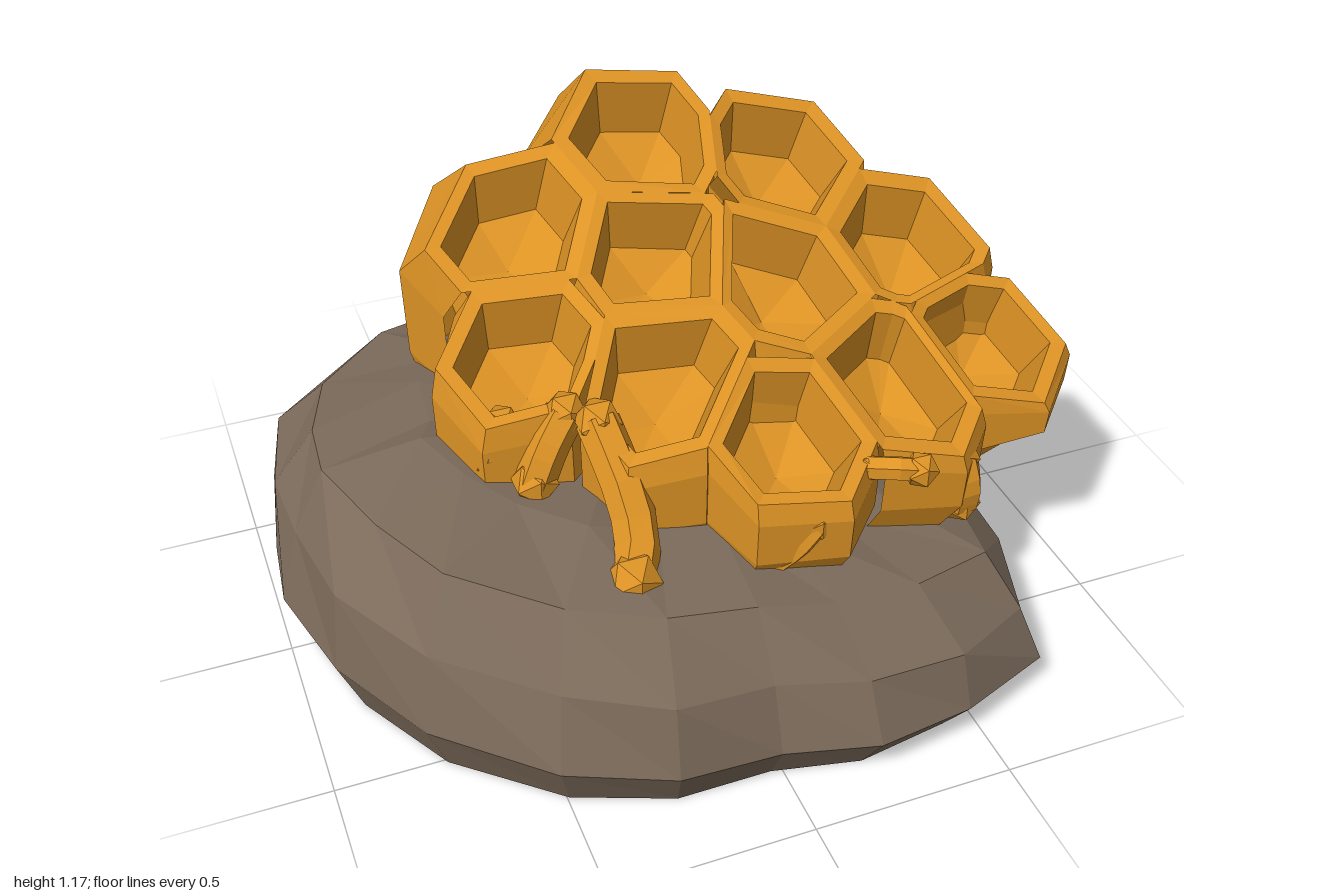
import * as THREE from 'three';

const comb = new THREE.MeshStandardMaterial({ color: 0xdd9325, side: THREE.DoubleSide });
comb.name = 'amber wax';
const stone = new THREE.MeshStandardMaterial({ color: 0x7c6b5b });
stone.name = 'brown stone';

// Faceted surface joining successive [x,y,z] loops; a one-point loop closes an end
function loft(loops, closed = true, out = []) {
  for (let k = 0; k + 1 < loops.length; k++) {
    const lo = loops[k], up = loops[k + 1];
    const n = Math.max(lo.length, up.length);
    for (let i = 0; i < (closed ? n : n - 1); i++) {
      const j = (i + 1) % n;
      const a = lo[i % lo.length], b = lo[j % lo.length];
      const c = up[i % up.length], d = up[j % up.length];
      if (up.length > 1) out.push(...a, ...c, ...d);
      if (lo.length > 1) out.push(...a, ...d, ...b);
    }
  }
  return out;
}

function facetMesh(name, positions, material) {
  const g = new THREE.BufferGeometry();
  g.setAttribute('position', new THREE.Float32BufferAttribute(positions, 3));
  g.computeVertexNormals();
  const m = new THREE.Mesh(g, material);
  m.name = name;
  return m;
}

// ---- Boulder: one plan outline, scaled and raised ring by ring
const OUTLINE = [
  [-0.23, -0.93], [0, -0.86], [0.25, -0.83], [0.5, -0.78], [0.65, -0.62], [0.71, -0.4], [0.76, -0.15],
  [0.78, 0.15], [0.77, 0.5], [0.7, 0.78], [0.45, 0.88], [0.2, 0.92], [-0.03, 0.87], [-0.28, 0.87],
  [-0.53, 0.77], [-0.78, 0.55], [-0.93, 0.28], [-1, 0], [-0.98, -0.2], [-0.93, -0.5], [-0.67, -0.72], [-0.43, -0.87],
];
function rock() {
  // height share, x scale, z scale
  const RINGS = [[0, 0.935, 0.925], [0.27, 1, 1], [0.62, 0.965, 0.935], [0.9, 0.86, 0.78], [1, 0.6, 0.5]];
  const rings = RINGS.map(([f, sx, sz], r) =>
    OUTLINE.map(([x, z], i) => {
      const w = r < 2 ? 0 : 0.018 * Math.sin(i * 2.3 + r * 1.7);
      const px = x * (sx + w);
      return [px, f * (0.46 - 0.16 * px) * (1 + 1.2 * w), z * (sz + w)];
    }));
  return facetMesh('boulder', loft([[[0, 0, 0]], ...rings, [[-0.1, 0.48, 0]]]), stone);
}

// ---- Honeycomb: cell centres in plan with outer radius
const CELLS = [
  [0.09, -0.37, 0.24], [-0.27, -0.25, 0.24], [0.44, -0.27, 0.24], [0.01, -0.07, 0.26], [-0.36, 0.03, 0.21],
  [0.32, 0.06, 0.26], [0.67, -0.03, 0.24], [-0.06, 0.22, 0.25], [0.16, 0.43, 0.22], [0.48, 0.33, 0.25], [0.775, 0.25, 0.215],
];
const surf = (x, z) => 0.9 - 0.47 * z - (x < 0.1 ? 0.27 : 0.16) * Math.max(0, Math.abs(x - 0.1) - 0.12);

// Hexagon trimmed halfway to every neighbour
function cellPolygon([cx, cz, r], index) {
  let poly = [];
  for (let i = 0; i < 6; i++) {
    const a = 0.2 + i * Math.PI / 3;
    poly.push([cx + r * Math.cos(a), cz + r * 0.92 * Math.sin(a)]);
  }
  CELLS.forEach(([ox, oz], k) => {
    if (k === index) return;
    const side = ([x, z]) => (x - (cx + ox) / 2) * (ox - cx) + (z - (cz + oz) / 2) * (oz - cz);
    const next = [];
    poly.forEach((p, i) => {
      const q = poly[(i + 1) % poly.length], a = side(p), b = side(q);
      if (a <= 0) next.push(p);
      if (a * b < 0) next.push([p[0] + (q[0] - p[0]) * a / (a - b), p[1] + (q[1] - p[1]) * a / (a - b)]);
    });
    poly = next;
  });
  return poly;
}

const inside = (poly, x, z) => poly.every((p, i) => {
  const q = poly[(i + 1) % poly.length];
  return (q[0] - p[0]) * (z - p[1]) - (q[1] - p[1]) * (x - p[0]) >= 0;
});

// Outer flank at a rim point: swells backward behind the cells, undercut on the right
function flank([x, z]) {
  const clamp = THREE.MathUtils.clamp;
  const len = Math.hypot(x - 0.1, z + 0.05);
  const dx = (x - 0.1) / len, dz = (z + 0.05) / len;
  const back = Math.max(0, -dz) ** 0.7 * (1 - 1.2 * clamp(x - 0.22, 0, 0.5)) * (1 + 0.08 * Math.sin(x * 17 + z * 11));
  const top = surf(x, z);
  const right = clamp((x - 0.62) / 0.25, 0, 1);
  const base = 0.36 + 0.11 * right;
  const at = (t, swell, out) => [
    x + dx * (out + 0.07 * back * swell), top + (base - top) * t, z + dz * out - 0.18 * back * swell,
  ];
  return [
    [0.1, 0.36, -0.05], at(1, 0.55, -0.04 - 0.05 * right),
    at(0.65, 0.97, 0.01), at(0.2, 1, 0.015), at(0, 0, 0),
  ];
}

function honeycomb() {
  const group = new THREE.Group();
  group.name = 'honeycomb';
  const polys = CELLS.map(cellPolygon);
  const skirt = [];
  polys.forEach((poly, k) => {
    const [cx, cz] = poly.reduce((s, p) => [s[0] + p[0] / poly.length, s[1] + p[1] / poly.length], [0, 0]);
    // Rim, sloping inner wall and sunken floor, sunk square to the tilted face
    const ring = (scale, depth) => poly.map(([x, z]) => {
      const px = cx + (x - cx) * scale, pz = cz + (z - cz) * scale;
      return [px, surf(px, pz) - depth, pz - depth * 0.4];
    });
    const floor = [cx, surf(cx, cz) - 0.2, cz - 0.08];
    group.add(facetMesh('cell', loft([ring(1, 0), ring(0.82, 0.008), ring(0.66, 0.15), [floor]]), comb));

    // Flank below every exposed edge
    poly.forEach((p, i) => {
      const q = poly[(i + 1) % poly.length];
      const ex = q[0] - p[0], ez = q[1] - p[1], len = Math.hypot(ex, ez);
      if (len < 1e-4) return;
      const exposed = [0.1, 0.5, 0.9].some((t) => {
        const x = p[0] + ex * t + ez / len * 0.012, z = p[1] + ez * t - ex / len * 0.012;
        return !polys.some((o, n) => n !== k && inside(o, x, z));
      });
      if (!exposed) return;
      const a = flank(p), b = flank(q);
      loft(a.map((v, n) => [v, b[n]]), false, skirt);
    });
  });
  group.add(facetMesh('outerWall', skirt, comb));
  return group;
}

// ---- Wax drips: short faceted tubes ending in a blob
function drip(points, radius, blob) {
  const group = new THREE.Group();
  group.name = 'waxDrip';
  const path = new THREE.CatmullRomCurve3(points.map((p) => new THREE.Vector3(...p)));
  const tube = new THREE.TubeGeometry(path, 5, radius, 6).toNonIndexed();
  tube.computeVertexNormals();
  const stem = new THREE.Mesh(tube, comb);
  stem.name = 'dripStem';
  group.add(stem);
  for (const [p, r] of [[points[0], radius * 1.1], [points[points.length - 1], blob]]) {
    const end = new THREE.Mesh(new THREE.IcosahedronGeometry(r, 0), comb);
    end.position.set(...p);
    end.name = 'dripEnd';
    group.add(end);
  }
  return group;
}

export function createModel() {
  const model = new THREE.Group();
  model.name = 'honeycombOnBoulder';
  model.add(rock(), honeycomb());
  model.add(
    drip([[-0.25, 0.7, 0.25], [-0.23, 0.59, 0.38], [-0.23, 0.5, 0.46], [-0.27, 0.46, 0.54]], 0.055, 0.07),
    drip([[-0.31, 0.7, 0.19], [-0.36, 0.63, 0.21], [-0.4, 0.54, 0.22]], 0.05, 0.06),
    drip([[-0.45, 0.66, 0.13], [-0.47, 0.61, 0.15], [-0.48, 0.56, 0.13]], 0.045, 0.05),
    drip([[0.32, 0.61, 0.53], [0.37, 0.63, 0.58], [0.42, 0.62, 0.59]], 0.03, 0.045),
    drip([[0.58, 0.54, 0.49], [0.59, 0.47, 0.51], [0.59, 0.41, 0.5]], 0.05, 0.055),
    drip([[0.16, 0.54, 0.59], [0.12, 0.48, 0.58], [0.08, 0.42, 0.55]], 0.04, 0.05),
  );
  return model;
}
